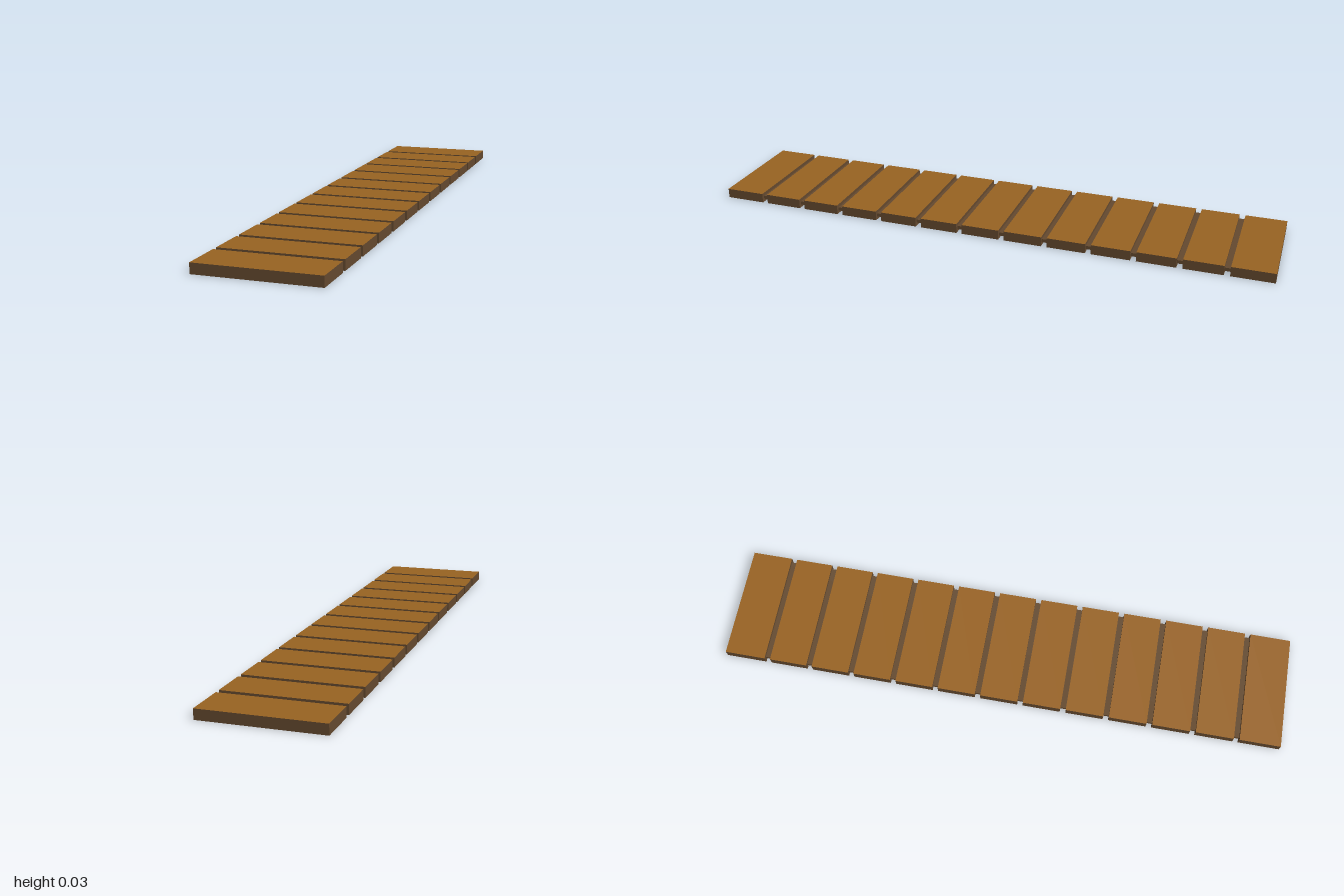
import * as THREE from 'three';

export function createModel() {
  const model = new THREE.Group();
  model.name = 'plankWalkway';

  const topWood = new THREE.MeshStandardMaterial({ color: 0x996322 });
  topWood.name = 'warm plank brown';
  const darkWood = new THREE.MeshStandardMaterial({ color: 0x654a2f });
  darkWood.name = 'dark edge brown';

  const count = 13, length = 2, width = 0.4, height = 0.034, gap = 0.02;
  const pitch = length / count;

  // Planks: light top face, dark edges and underside
  const faces = [darkWood, darkWood, topWood, darkWood, darkWood, darkWood];
  for (let i = 0; i < count; i++) {
    const start = -1 + i * pitch + (i > 0 ? gap / 2 : 0);
    const end = -1 + (i + 1) * pitch - (i < count - 1 ? gap / 2 : 0);
    const plank = new THREE.Mesh(new THREE.BoxGeometry(width, height, end - start), faces);
    plank.name = `plank${i + 1}`;
    plank.position.set(0, height / 2, (start + end) / 2);
    model.add(plank);
  }

  // Thin inner slab that joins the planks and shows in the gaps
  const core = new THREE.Mesh(new THREE.BoxGeometry(0.38, 0.012, length - pitch), darkWood);
  core.name = 'joiningSlab';
  core.position.y = height / 2;
  model.add(core);

  return model;
}
